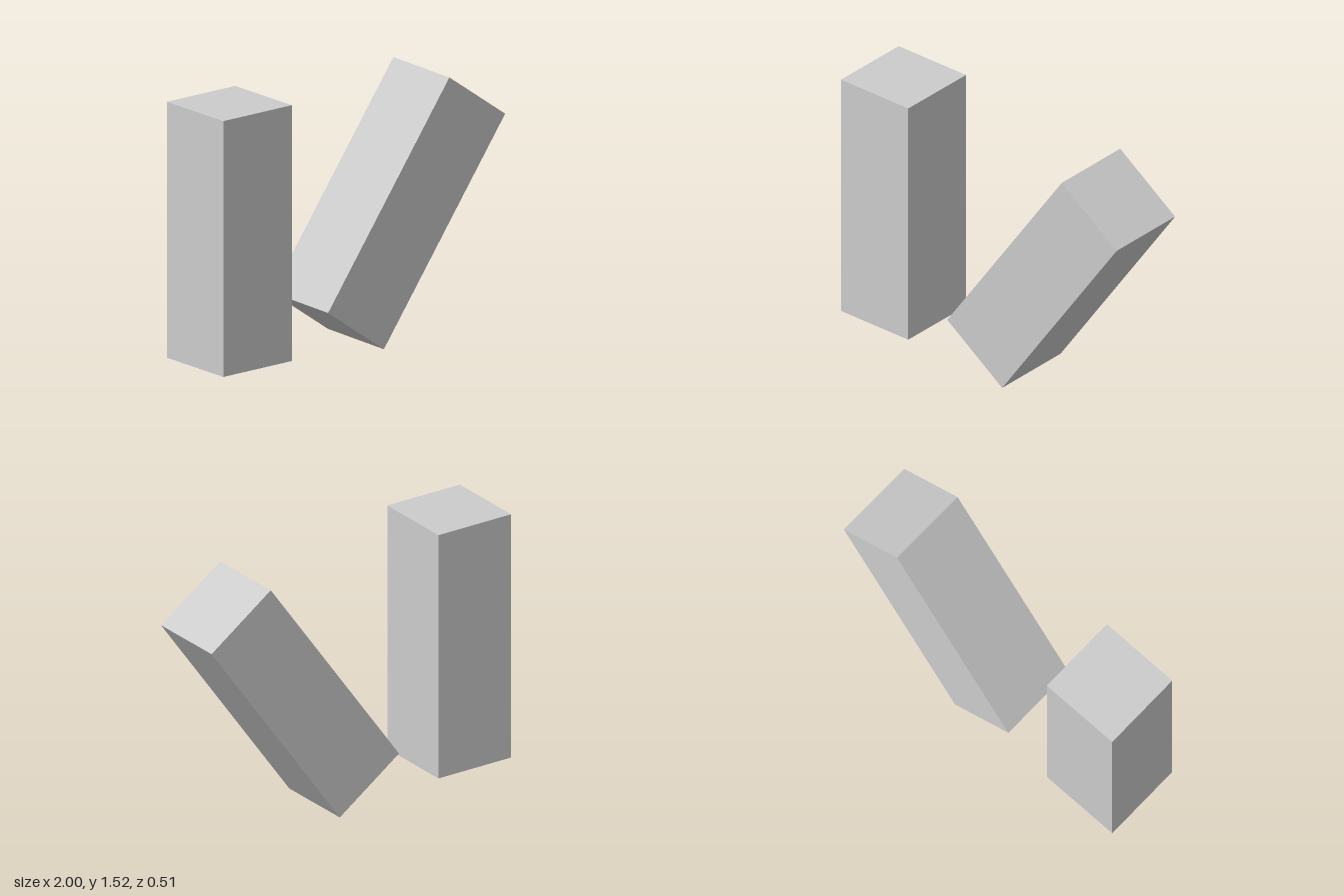
import * as THREE from 'three';

export function createModel() {
  const group = new THREE.Group();
  const material = new THREE.MeshStandardMaterial({ color: 0xcccccc, flatShading: true });
  const block = new THREE.BoxGeometry(0.485, 1.457, 0.485);

  const addBlock = (name, x, y, z) => {
    const mesh = new THREE.Mesh(block, material);
    mesh.name = name;
    mesh.position.set(x, y, z);
    group.add(mesh);
    return mesh;
  };

  // Upright block, hovering slightly above the ground
  addBlock('uprightBlock', -0.758, 0.792, 0.002);

  // Same block leaning sideways, its top tipped very slightly forward
  const leaning = addBlock('leaningBlock', 0.375, 0.74, -0.002);
  leaning.rotation.set(0.014, 0, -0.617, 'ZYX');

  return group;
}
